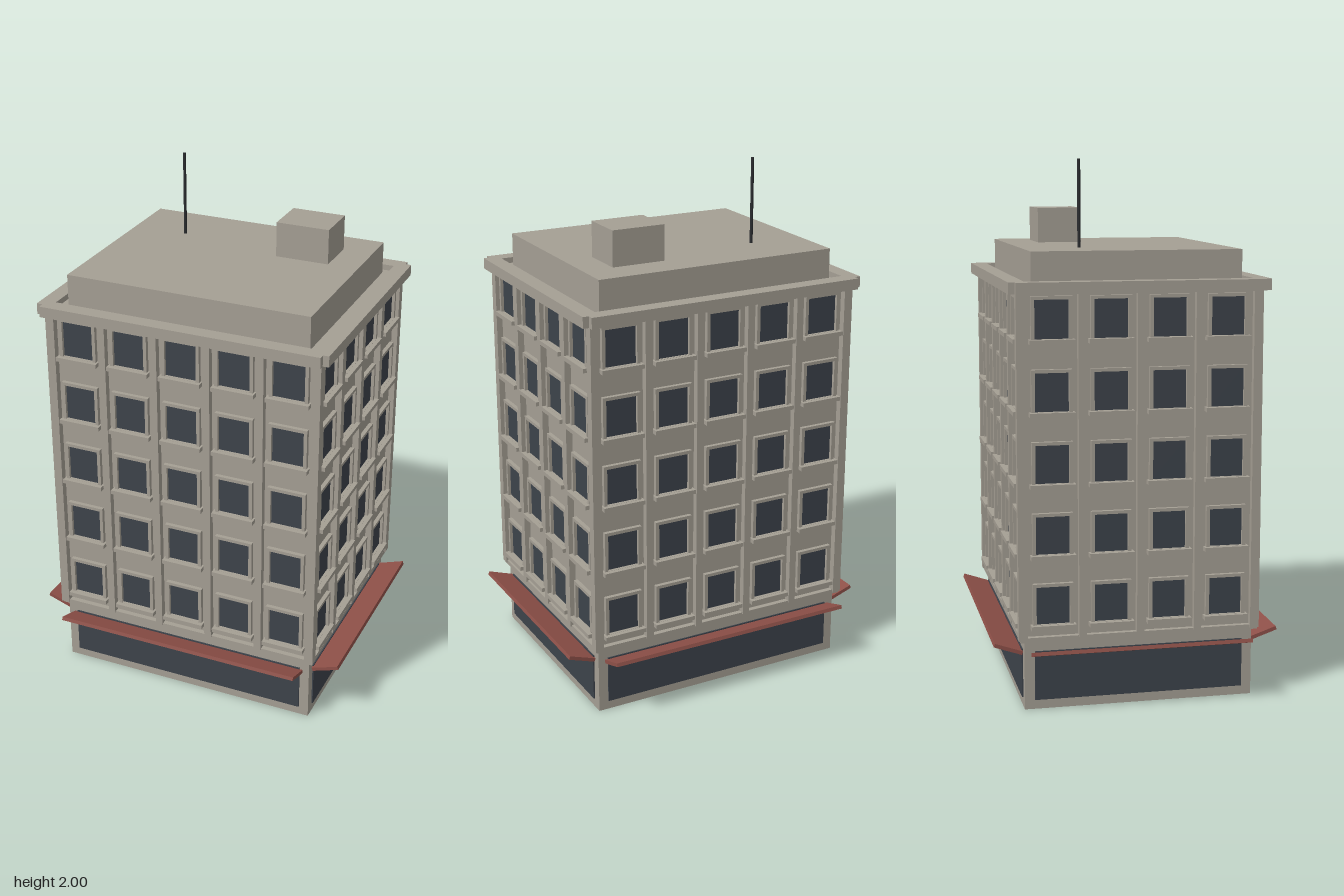
import * as THREE from 'three';

const material = (name, color) => Object.assign(new THREE.MeshStandardMaterial({ color }), { name });

export function createModel() {
  const stone = material('stone', 0xa59f94);
  const glass = material('dark glass', 0x3d434b);
  const red = material('awning red', 0x8e5048);
  const black = material('mast black', 0x2a2c2f);

  const model = new THREE.Group();
  model.name = 'officeBuilding';

  const add = (parent, name, geometry, mat, x, y, z) => {
    const mesh = new THREE.Mesh(geometry, mat);
    mesh.name = name;
    mesh.position.set(x, y, z);
    parent.add(mesh);
    return mesh;
  };
  // Box given by its size, its bottom height and its centre
  const box = (parent, name, w, h, d, mat, x, y0, z) =>
    add(parent, name, new THREE.BoxGeometry(w, h, d), mat, x, y0 + h / 2, z);
  const rect = (Type, w, h) => new Type([
    new THREE.Vector2(-w / 2, -h / 2), new THREE.Vector2(w / 2, -h / 2),
    new THREE.Vector2(w / 2, h / 2), new THREE.Vector2(-w / 2, h / 2),
  ]);

  const HX = 0.525, HZ = 0.433;     // half width and half depth
  const FLOORS = 5, FLOOR_H = 0.2615;

  // Main masses
  box(model, 'groundFloor', HX * 2 - 0.004, 0.26, HZ * 2 - 0.004, stone, 0, 0, 0);
  box(model, 'tower', HX * 2 - 0.01, 1.29, HZ * 2 - 0.01, stone, 0, 0.26, 0);
  box(model, 'roofBlock', 0.956, 0.13, 0.78, stone, 0, 1.545, 0);
  box(model, 'roofHut', 0.208, 0.135, 0.172, stone, 0.257, 1.675, -0.175);
  add(model, 'mast', new THREE.CylinderGeometry(0.006, 0.006, 0.326, 8), black, -0.264, 1.837, -0.175);

  // Corner piers
  for (const sx of [-1, 1]) for (const sz of [-1, 1]) {
    box(model, 'cornerPier', 0.034, 1.27, 0.034, stone, sx * (HX + 0.002), 0.265, sz * (HZ + 0.004));
  }

  // Shared window parts
  const frameShape = rect(THREE.Shape, 0.15, 0.165);
  frameShape.holes.push(rect(THREE.Path, 0.124, 0.141));
  const frameGeo = new THREE.ExtrudeGeometry(frameShape, { depth: 0.016, bevelEnabled: false });
  const paneGeo = new THREE.BoxGeometry(0.13, 0.147, 0.004);
  const sillGeo = new THREE.BoxGeometry(0.166, 0.016, 0.036);

  // One facade, built facing +z: half width, distance from the centre, bays
  const facade = (name, half, dist, bays, angle) => {
    const side = new THREE.Group();
    side.name = name;
    side.rotation.y = angle;
    model.add(side);
    const wall = dist - 0.005;
    const bay = (half * 2) / bays;

    // Shop window and its upward tilted awning
    box(side, 'shopWindow', half * 2 - 0.08, 0.185, 0.006, glass, 0, 0.035, dist);
    const awning = box(side, 'awning', half * 2 - 0.055, 0.014, 0.11, red, 0, 0.218, dist + 0.053);
    awning.rotation.x = -0.33;

    // Band above the shop and cornice rim on the roof
    box(side, 'baseBand', half * 2 + 0.03, 0.018, 0.03, stone, 0, 0.258, dist);
    box(side, 'cornice', half * 2 + 0.05, 0.042, 0.06, stone, 0, 1.53, dist + 0.018);

    // Pilasters between the bays
    for (let i = 1; i < bays; i++) {
      box(side, 'pilaster', 0.028, 1.26, 0.03, stone, -half + i * bay, 0.27, wall + 0.01);
    }

    // Windows
    for (let f = 0; f < FLOORS; f++) {
      for (let i = 0; i < bays; i++) {
        const x = -half + (i + 0.5) * bay;
        const y = 0.392 + f * FLOOR_H;
        add(side, 'windowPane', paneGeo, glass, x, y, wall + 0.002);
        add(side, 'windowFrame', frameGeo, stone, x, y, wall);
        add(side, 'windowSill', sillGeo, stone, x, y - 0.079, wall + 0.015);
      }
    }
  };

  facade('frontFacade', HX, HZ, 5, 0);
  facade('backFacade', HX, HZ, 5, Math.PI);
  facade('leftFacade', HZ, HX, 4, Math.PI / 2);
  facade('rightFacade', HZ, HX, 4, -Math.PI / 2);

  return model;
}
